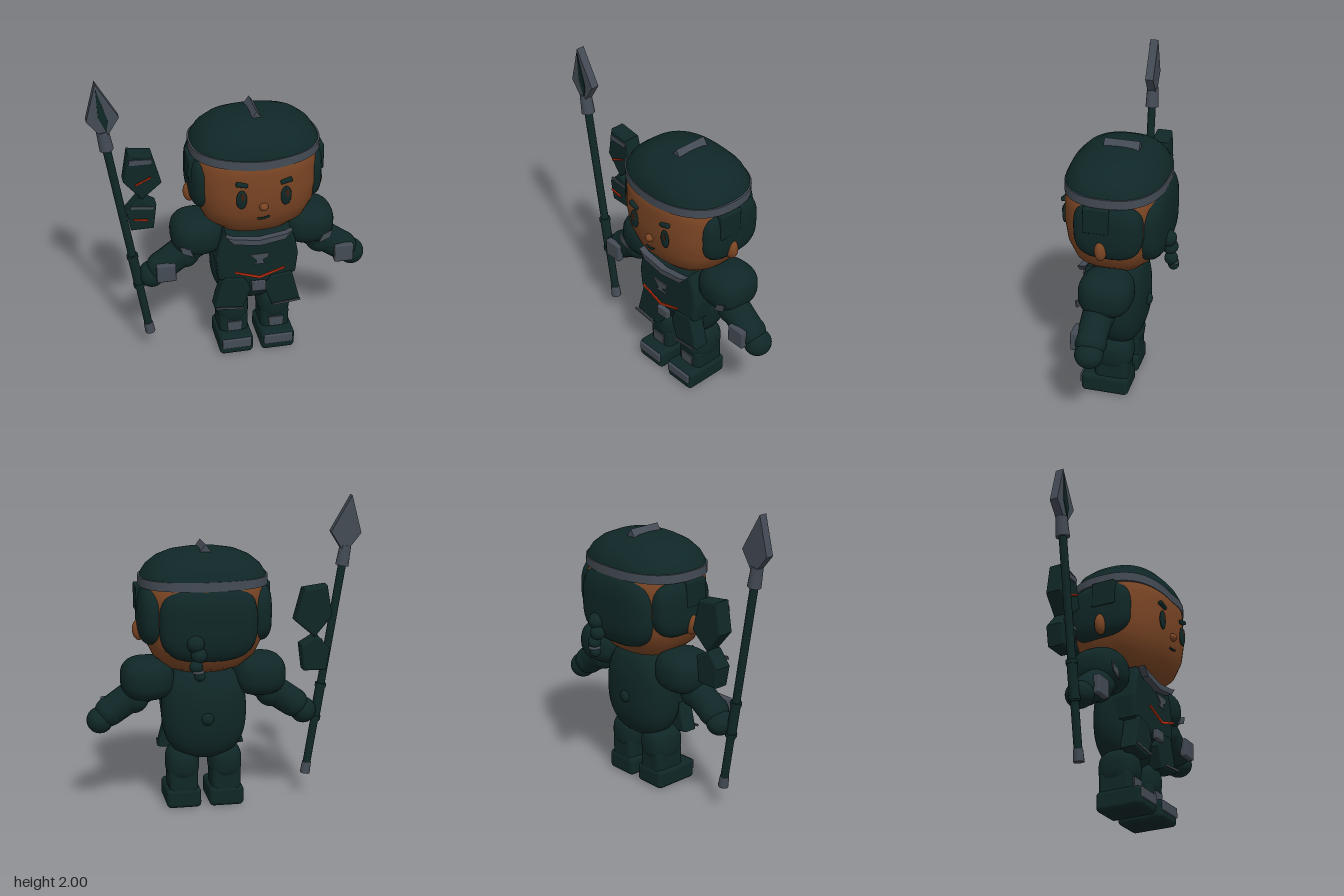
import * as THREE from 'three';
import { mergeVertices, toCreasedNormals } from 'three/addons/utils/BufferGeometryUtils.js';
import { RoundedBoxGeometry } from 'three/addons/geometries/RoundedBoxGeometry.js';

const material = (name, color) => {
  const m = new THREE.MeshStandardMaterial({ color });
  m.name = name;
  return m;
};
const dark = material('dark teal', 0x102727);
const skin = material('brown skin', 0x7a4524);
const steel = material('steel grey', 0x444b55);
const ember = material('ember red', 0xcc3210);
const iris = material('iris brown', 0x3c1f14);

function add(parent, name, geometry, mat, x = 0, y = 0, z = 0) {
  const mesh = new THREE.Mesh(geometry, mat);
  mesh.name = name;
  mesh.position.set(x, y, z);
  parent.add(mesh);
  return mesh;
}

function smooth(geometry) {
  geometry.deleteAttribute('uv');
  geometry.deleteAttribute('normal');
  const merged = mergeVertices(geometry, 1e-5);
  merged.computeVertexNormals();
  return merged;
}

// Superellipsoid: n = 2 is round, higher values are boxier
function blob(rx, ry, rz, n = 2) {
  const g = new THREE.SphereGeometry(1, 36, 24);
  const p = g.attributes.position, v = new THREE.Vector3();
  for (let i = 0; i < p.count; i++) {
    v.fromBufferAttribute(p, i);
    const k = (Math.abs(v.x) ** n + Math.abs(v.y) ** n + Math.abs(v.z) ** n) ** (-1 / n);
    p.setXYZ(i, v.x * k * rx, v.y * k * ry, v.z * k * rz);
  }
  return smooth(g);
}

// Lathe whose rings are rounded rectangles of half size ax by az
function loft(profile, ax, az, n = 2.5, crease = 0, dip = 0) {
  const g = new THREE.LatheGeometry(profile.map(([r, y]) => new THREE.Vector2(r, y)), 56);
  const p = g.attributes.position;
  for (let i = 0; i < p.count; i++) {
    const x = p.getX(i), z = p.getZ(i), r = Math.hypot(x, z);
    if (r < 1e-6) continue;
    const k = (Math.abs(x / r) ** n + Math.abs(z / r) ** n) ** (-1 / n);
    const drop = z > 0 ? dip * Math.max(0, 1 - Math.abs(x) / 0.75) : 0;
    p.setXYZ(i, x * k * ax, p.getY(i) - drop, z * k * az);
  }
  const s = smooth(g);
  return crease ? toCreasedNormals(s, crease) : s;
}

// Flat outline extruded from z0 to z1, with an optional soft edge
function plate(points, z0, z1, bevel = 0) {
  const shape = new THREE.Shape(points.map(([x, y]) => new THREE.Vector2(x, y)));
  const g = new THREE.ExtrudeGeometry(shape, {
    depth: z1 - z0 - 2 * bevel, bevelEnabled: bevel > 0, bevelThickness: bevel,
    bevelSize: bevel, bevelOffset: -bevel, bevelSegments: 3,
  });
  return g.translate(0, 0, z0 + bevel);
}

// Tapered rod between two points
function rod(parent, name, a, b, ra, rb, mat, sides = 20) {
  const d = b.clone().sub(a);
  const mesh = add(parent, name, new THREE.CylinderGeometry(rb, ra, d.length(), sides), mat);
  mesh.position.copy(a).addScaledVector(d, 0.5);
  mesh.quaternion.setFromUnitVectors(new THREE.Vector3(0, 1, 0), d.normalize());
}

function buildHead(body) {
  const head = new THREE.Group();
  head.name = 'head';
  head.position.z = 0.025;
  body.add(head);
  add(head, 'face', loft([[0, 0.89], [0.3, 0.9], [0.6, 0.945], [0.82, 1.02], [0.95, 1.13],
    [1, 1.26], [0.99, 1.4], [0.96, 1.53], [0, 1.54]], 0.4, 0.32), skin);
  add(head, 'helmetDome', loft([[0.99, 1.51], [0.985, 1.535], [0.9, 1.59], [0.75, 1.64],
    [0.55, 1.675], [0.3, 1.695], [0, 1.7]], 0.405, 0.315), dark);
  add(head, 'helmetBand', loft([[0.95, 1.47], [1.015, 1.47], [1.015, 1.528], [0.95, 1.528]],
    0.405, 0.312, 2.5, 0.7, 0.022), steel);
  add(head, 'helmetCrest', plate([[-0.04, 1.68], [0.04, 1.68], [0, 1.735]], -0.13, 0.095), steel);

  // Hair at the back and sides
  add(head, 'backHair', blob(0.31, 0.25, 0.13, 3), dark, 0, 1.26, -0.215);
  for (const s of [-1, 1]) {
    add(head, 'sideHair', blob(0.095, 0.195, 0.215, 3), dark, s * 0.332, 1.295, -0.02);
    add(head, 'temple', new RoundedBoxGeometry(0.1, 0.17, 0.16, 3, 0.01), dark, s * 0.382, 1.385, 0.035);
    add(head, 'ear', blob(0.045, 0.07, 0.038), skin, s * 0.407, 1.18, 0.01);

    // Eyes and brows
    add(head, 'eye', blob(0.034, 0.065, 0.014), dark, s * 0.14, 1.255, 0.315);
    add(head, 'iris', blob(0.013, 0.032, 0.004), iris, s * 0.14 + 0.005, 1.275, 0.326);
    const brow = add(head, 'brow', new RoundedBoxGeometry(0.075, 0.026, 0.03, 3, 0.008), dark, s * 0.14, 1.36, 0.315);
    brow.rotation.z = s * 0.25;
  }
  add(head, 'nose', blob(0.028, 0.026, 0.028), skin, 0, 1.19, 0.315);
  const smile = new THREE.QuadraticBezierCurve3(new THREE.Vector3(-0.04, 1.107, 0.308),
    new THREE.Vector3(0, 1.1, 0.312), new THREE.Vector3(0.04, 1.116, 0.308));
  add(head, 'mouth', new THREE.TubeGeometry(smile, 12, 0.007, 8), dark);

  // Braid of shrinking knots with a steel bead
  [[1.15, 0.055], [1.08, 0.05], [1.01, 0.043], [0.955, 0.035]].forEach(([y, r], i) =>
    add(head, 'braidKnot', blob(r, r, r), dark, 0.1 - (i % 2) * 0.02, y, -0.335 - i * 0.011));
  add(head, 'braidBead', new THREE.TorusGeometry(0.03, 0.01, 8, 20).rotateX(Math.PI / 2), steel, 0.09, 0.98, -0.365);
}

function buildTorso(body) {
  add(body, 'torso', blob(0.275, 0.32, 0.165, 2.5), dark, 0, 0.645, 0);
  add(body, 'chestPlate', plate([[-0.21, 0.935], [0, 0.885], [0.21, 0.935], [0.25, 0.83], [0.27, 0.72],
    [0.255, 0.58], [0.1, 0.53], [-0.1, 0.53], [-0.255, 0.58], [-0.27, 0.72], [-0.25, 0.83]], 0.03, 0.2, 0.025), dark);
  add(body, 'collar', plate([[-0.215, 0.93], [-0.17, 0.91], [0, 0.885], [0.17, 0.91], [0.215, 0.93],
    [0.165, 0.873], [0, 0.845], [-0.165, 0.873]], 0.2, 0.245), steel);
  add(body, 'anvilBadge', plate([[-0.07, 0.79], [0.06, 0.79], [0.055, 0.762], [0.022, 0.745], [0.022, 0.73],
    [0.045, 0.715], [-0.045, 0.715], [-0.022, 0.73], [-0.022, 0.745]], 0.247, 0.256), steel);
  add(body, 'chestStripe', plate([[-0.165, 0.675], [0, 0.622], [0.165, 0.675], [0.16, 0.661],
    [0, 0.605], [-0.16, 0.661]], 0.25, 0.259), ember);
  add(body, 'buckle', new RoundedBoxGeometry(0.095, 0.065, 0.035, 2, 0.006), steel, 0, 0.53, 0.228);
  add(body, 'backClasp', blob(0.04, 0.04, 0.025), dark, 0, 0.62, -0.165);
  for (const s of [-1, 1]) {
    const m = (pts) => pts.map(([x, y]) => [s * x, y]);
    add(body, 'skirtPanel', plate(m([[0.225, 0.6], [0.08, 0.58], [0.045, 0.485], [0.095, 0.35], [0.285, 0.37]]), 0.1, 0.208, 0.015), dark);
    add(body, 'skirtTrim', plate(m([[0.28, 0.392], [0.098, 0.373], [0.098, 0.36], [0.283, 0.378]]), 0.222, 0.231), steel);
  }
}

function buildLimbs(body) {
  for (const s of [-1, 1]) {
    const side = s > 0 ? 'left' : 'right';
    const v = (x, y, z) => new THREE.Vector3(s * x, y, z);
    add(body, side + 'Shoulder', blob(0.17, 0.14, 0.17, 2.6), dark, s * 0.365, 0.868, 0.012);
    add(body, side + 'ShoulderInlay', plate([[0.5, 0.855], [0.485, 0.8], [0.41, 0.768], [0.435, 0.825]]
      .map(([x, y]) => [s * x, y]), 0.165, 0.174), steel);

    // Arm, bracer and hand
    rod(body, side + 'Forearm', v(0.38, 0.8, 0.04), v(0.61, 0.64, 0.045), 0.1, 0.095, dark);
    add(body, side + 'Elbow', blob(0.1, 0.1, 0.1), dark, s * 0.45, 0.73, 0.04);
    add(body, side + 'Wrist', blob(0.095, 0.095, 0.1), dark, s * 0.605, 0.645, 0.045);
    add(body, side + 'Hand', blob(0.085, 0.085, 0.09), dark, s * 0.668, 0.592, 0.04);
    add(body, side + 'Bracer', new RoundedBoxGeometry(0.125, 0.122, 0.045, 2, 0.008), steel, s * 0.588, 0.655, 0.142);

    // Leg and boot
    add(body, side + 'Thigh', blob(0.108, 0.12, 0.128, 2.8), dark, s * 0.14, 0.29, 0.028);
    add(body, side + 'Shin', new RoundedBoxGeometry(0.19, 0.2, 0.225, 4, 0.04), dark, s * 0.14, 0.17, 0.03);
    add(body, side + 'ShinGuard', plate([[-0.052, 0.21], [0.052, 0.21], [0.045, 0.14], [-0.045, 0.14]], 0.146, 0.155), steel, s * 0.14);
    add(body, side + 'Boot', new RoundedBoxGeometry(0.225, 0.132, 0.315, 4, 0.03), dark, s * 0.14, 0.066, 0.07);
    add(body, side + 'ToeCap', new RoundedBoxGeometry(0.195, 0.068, 0.03, 2, 0.008), steel, s * 0.14, 0.086, 0.22);
  }
}

function buildSpear(root) {
  const spear = new THREE.Group();
  spear.name = 'spear';
  root.add(spear);
  const at = (y) => new THREE.Vector3(-0.563 - (y - 0.22) * 0.163, y, 0.055);
  rod(spear, 'shaft', at(0.2), at(1.58), 0.026, 0.026, dark);
  rod(spear, 'grip', at(0.51), at(0.76), 0.032, 0.032, dark);
  for (const y of [0.52, 0.74]) rod(spear, 'gripRing', at(y), at(y + 0.025), 0.037, 0.037, dark);
  rod(spear, 'buttCap', at(0.15), at(0.225), 0.034, 0.03, steel, 12);
  rod(spear, 'socket', at(1.545), at(1.675), 0.044, 0.038, steel, 12);
  add(spear, 'blade', plate([[-0.833, 2], [-0.897, 1.755], [-0.812, 1.65], [-0.772, 1.65], [-0.698, 1.768]], 0.028, 0.082), steel);
  add(spear, 'bladeGroove', plate([[-0.832, 1.97], [-0.825, 1.78], [-0.778, 1.675], [-0.765, 1.75]], 0.08, 0.087), dark);
}

function buildShards(root) {
  const shards = new THREE.Group();
  shards.name = 'floatingPlates';
  root.add(shards);
  add(shards, 'upperPlate', plate([[-0.643, 1.45], [-0.49, 1.43], [-0.435, 1.225], [-0.563, 1.115], [-0.677, 1.25]], -0.125, -0.015, 0.015), dark);
  add(shards, 'lowerPlate', plate([[-0.58, 1.13], [-0.472, 1.066], [-0.493, 0.897], [-0.64, 0.895], [-0.666, 1.03]], -0.125, -0.015, 0.015), dark);
  add(shards, 'upperTrim', plate([[-0.635, 1.412], [-0.492, 1.405], [-0.5, 1.375], [-0.643, 1.375]], -0.016, -0.008), steel);
  add(shards, 'lowerTrim', plate([[-0.635, 1.08], [-0.49, 1.062], [-0.495, 1.045], [-0.645, 1.06]], -0.016, -0.008), steel);
  add(shards, 'upperStripe', plate([[-0.607, 1.233], [-0.507, 1.28], [-0.507, 1.291], [-0.607, 1.244]], 0, 0.009), ember);
  add(shards, 'lowerStripe', plate([[-0.625, 0.985], [-0.535, 0.97], [-0.535, 0.981], [-0.625, 0.996]], 0, 0.009), ember);
}

export function createModel() {
  const root = new THREE.Group();
  root.name = 'spearGuard';
  const body = new THREE.Group();
  body.name = 'body';
  body.position.x = 0.14;
  root.add(body);
  buildHead(body);
  buildTorso(body);
  buildLimbs(body);
  buildSpear(root);
  buildShards(root);
  return root;
}
